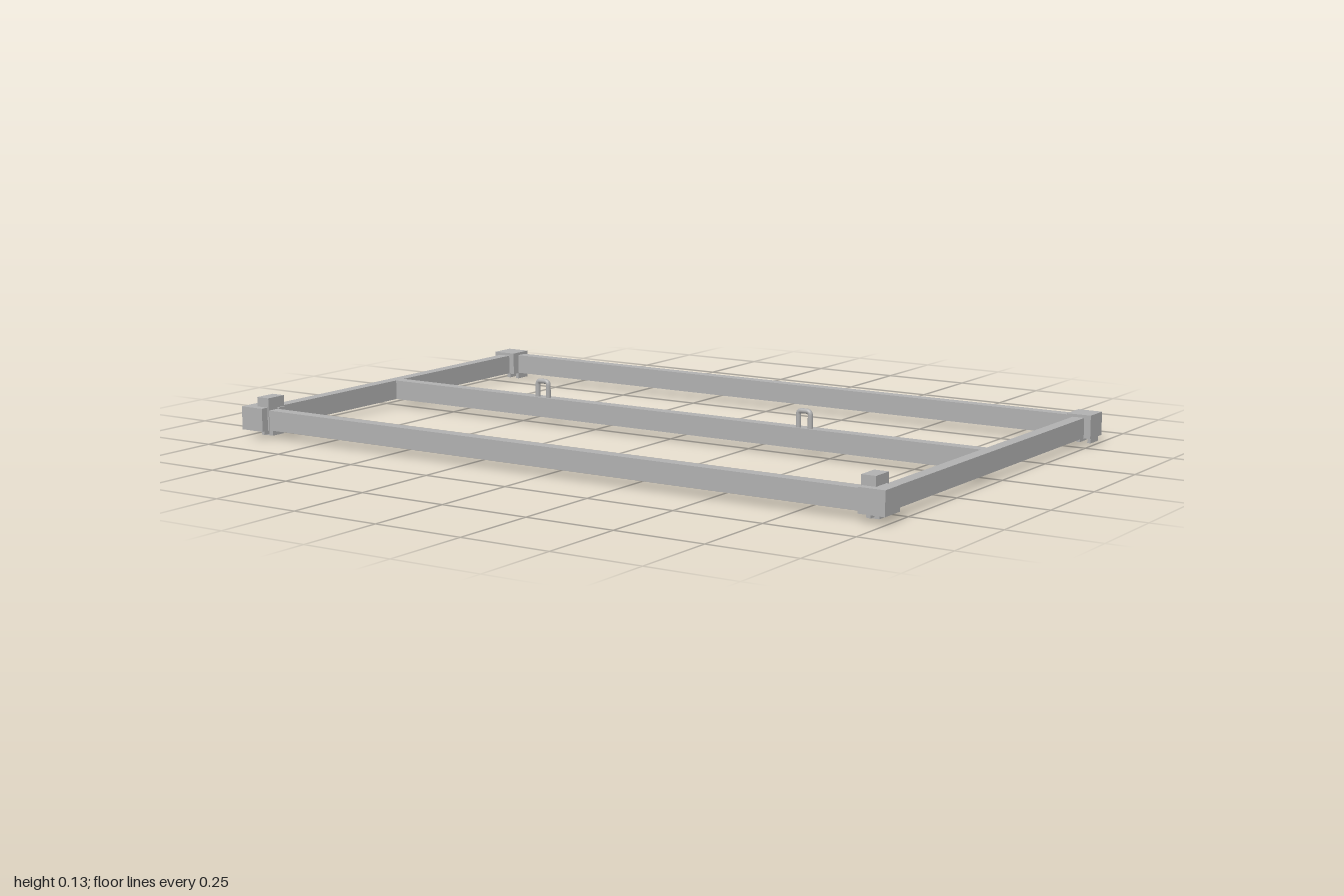
import * as THREE from 'three';

export function createModel() {
  const model = new THREE.Group();
  const steel = new THREE.MeshStandardMaterial({ color: 0xb0b0b0 });
  steel.name = 'grey steel';

  // box given by its extents on each axis
  const box = (name, x0, x1, y0, y1, z0, z1, parent = model) => {
    const mesh = new THREE.Mesh(new THREE.BoxGeometry(Math.abs(x1 - x0), y1 - y0, z1 - z0), steel);
    mesh.position.set((x0 + x1) / 2, (y0 + y1) / 2, (z0 + z1) / 2);
    mesh.name = name;
    parent.add(mesh);
  };

  // long rails
  box('frontRail', -0.93, 0.93, 0.021, 0.076, 0.557, 0.591);
  box('rearRail', -0.93, 0.93, 0.021, 0.076, -0.588, -0.554);
  box('middleRail', -0.947, 0.947, 0.021, 0.076, -0.016, 0.018);

  for (const s of [-1, 1]) {
    const side = s > 0 ? 'left' : 'right';
    box(side + 'SideRail', s * 0.947, s * 0.981, 0.021, 0.076, -0.535, 0.545);

    // front corner with its upright latch
    const front = new THREE.Group();
    front.name = side + 'FrontCorner';
    box('cornerBlock', s * 0.927, s, 0.02, 0.084, 0.542, 0.615, front);
    box('latchHead', s * 0.923, s * 0.963, 0.02, 0.11, 0.53, 0.593, front);
    box('latchFoot', s * 0.927, s * 0.963, 0.003, 0.02, 0.53, 0.574, front);
    box('latchLip', s * 0.94, s * 0.95, 0.007, 0.02, 0.574, 0.593, front);
    box('latchEar', s * 0.918, s * 0.927, 0.03, 0.08, 0.533, 0.557, front);
    model.add(front);

    // rear corner with two hooked prongs
    const rear = new THREE.Group();
    rear.name = side + 'RearCorner';
    box('cornerBlock', s * 0.93, s, 0.02, 0.084, -0.603, -0.53, rear);
    for (const x of [0.947, 0.979]) {
      box('prong', s * (x - 0.005), s * (x + 0.005), 0, 0.073, -0.617, -0.57, rear);
    }
    model.add(rear);

    // wire loop standing on the middle rail
    const r = 0.007, w = 0.018, top = 0.121, bend = 0.01;
    const v = (x, y) => new THREE.Vector3(x, y, 0);
    const path = new THREE.CurvePath();
    path.add(new THREE.LineCurve3(v(-w, 0.07), v(-w, top - bend)));
    path.add(new THREE.QuadraticBezierCurve3(v(-w, top - bend), v(-w, top), v(-w + bend, top)));
    path.add(new THREE.LineCurve3(v(-w + bend, top), v(w - bend, top)));
    path.add(new THREE.QuadraticBezierCurve3(v(w - bend, top), v(w, top), v(w, top - bend)));
    path.add(new THREE.LineCurve3(v(w, top - bend), v(w, 0.07)));
    const loop = new THREE.Mesh(new THREE.TubeGeometry(path, 40, r, 10), steel);
    loop.position.set(s * 0.425, 0, 0.006);
    loop.name = side + 'Loop';
    model.add(loop);
  }
  return model;
}
